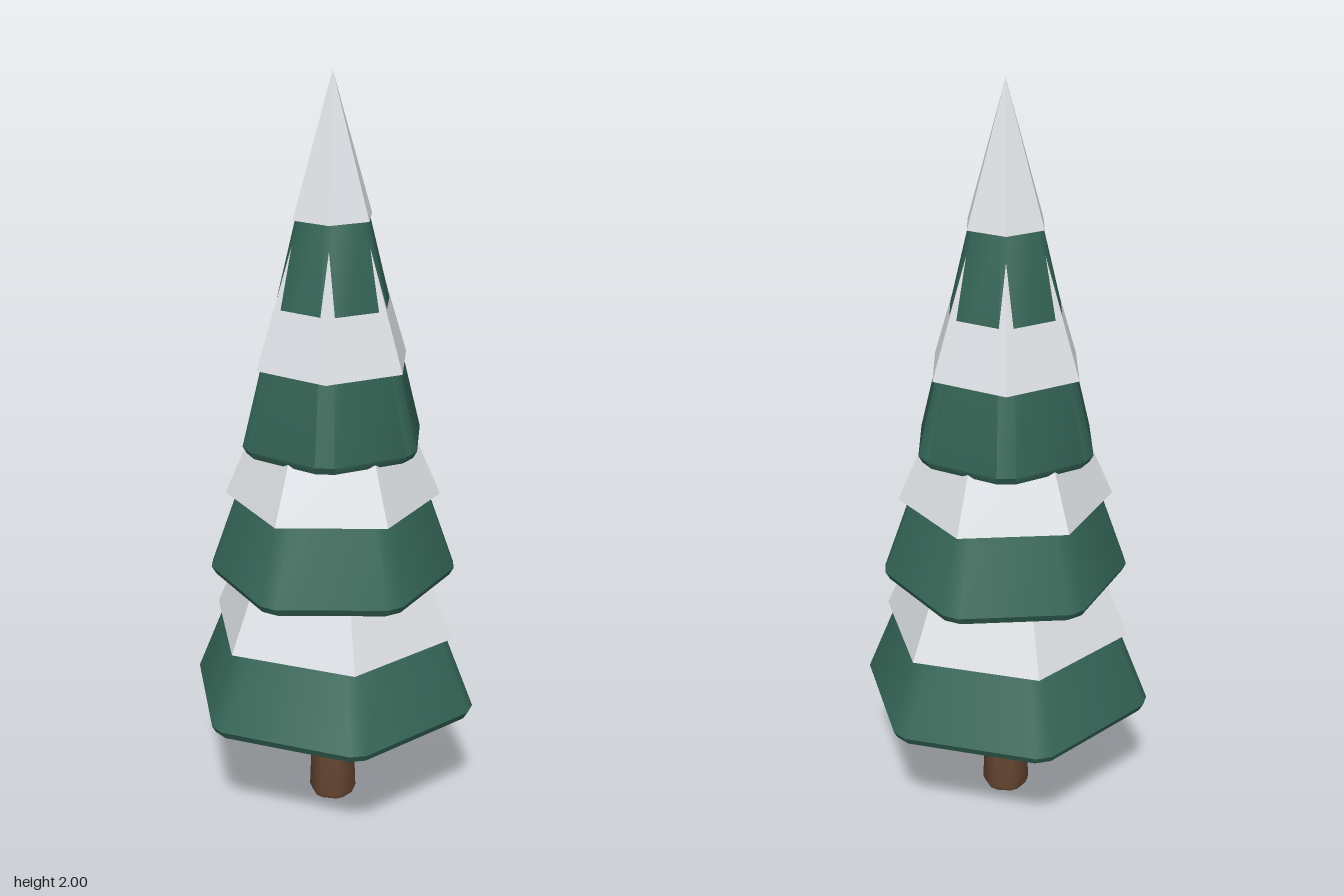
import * as THREE from 'three';
import { toCreasedNormals } from 'three/addons/utils/BufferGeometryUtils.js';

const rad = THREE.MathUtils.degToRad;

// Hexagon outline with each corner cut by c; a = centre-to-side distance
function hexRing(a, c, angle, y) {
  const pts = [];
  const r = a / Math.cos(Math.PI / 6);
  for (let i = 0; i < 6; i++) {
    const t = rad(angle + i * 60);
    for (const s of [-1, 1]) {
      const d = t + s * Math.PI * 2 / 3;
      pts.push(new THREE.Vector3(
        r * Math.cos(t) + c * Math.cos(d), y, r * Math.sin(t) + c * Math.sin(d)));
    }
  }
  return pts;
}

// Closed solid through a stack of [y, a, c] hexagon sections, softened at the corners
function hexSolid(sections, angle) {
  const rings = sections.map(([y, a, c]) => hexRing(a, c, angle, y));
  const pos = [];
  const tri = (...vs) => vs.forEach(v => pos.push(v.x, v.y, v.z));
  const last = rings.length - 1;
  const low = new THREE.Vector3(0, sections[0][0], 0);
  const high = new THREE.Vector3(0, sections[last][0], 0);
  for (let i = 0; i < 12; i++) {
    const j = (i + 1) % 12;
    for (let k = 0; k < last; k++) {
      const a = rings[k], b = rings[k + 1];
      tri(a[i], b[i], a[j]);
      tri(a[j], b[i], b[j]);
    }
    tri(low, rings[0][i], rings[0][j]);
    tri(high, rings[last][j], rings[last][i]);
  }
  const geo = new THREE.BufferGeometry();
  geo.setAttribute('position', new THREE.Float32BufferAttribute(pos, 3));
  return toCreasedNormals(geo, rad(42));
}

// Sharp, flat-faced six-sided cone section
function snowCone(y0, r0, y1, r1, angle) {
  const geo = new THREE.CylinderGeometry(r1, r0, y1 - y0, 6, 1).toNonIndexed();
  geo.computeVertexNormals();
  geo.rotateY(rad(30 - angle));
  geo.translate(0, (y0 + y1) / 2, 0);
  return geo;
}

export function createModel() {
  const group = new THREE.Group();
  const material = (name, color) => {
    const m = new THREE.MeshStandardMaterial({ color });
    m.name = name;
    return m;
  };
  const green = material('needleGreen', 0x356657);
  const white = material('snowWhite', 0xdfe2e6);
  const brown = material('barkBrown', 0x6b4a35);

  const add = (name, geo, mat) => {
    const mesh = new THREE.Mesh(geo, mat);
    mesh.name = name;
    group.add(mesh);
  };

  // Trunk
  add('trunk', hexSolid([
    [0, 0.054, 0.012], [0.015, 0.06, 0.012], [0.34, 0.049, 0.01]], 30), brown);

  // Branch tiers: foliage with a bevelled lower rim, and a snow skirt over each
  const tiers = [
    { name: 'lower', angle: -20.7, y: 0.31, a: 0.352, c: 0.025, top: [0.8, 0.183, 0.015],
      snow: [0.53, 0.34, 0.76, 0.241] },
    { name: 'middle', angle: 19.5, y: 0.675, a: 0.292, c: 0.026, top: [1.15, 0.15, 0.014],
      snow: [0.9, 0.284, 1.12, 0.189] },
    { name: 'upper', angle: -6.5, y: 1.04, a: 0.224, c: 0.028, top: [1.66, 0.086, 0.016],
      snow: [1.265, 0.213, 1.65, 0.089] },
  ];
  for (const { name, angle, y, a, c, top, snow } of tiers) {
    add(name + 'Foliage', hexSolid([[y, a - 0.01, c], [y + 0.02, a, c], top], angle), green);
    add(name + 'Snow', snowCone(...snow, angle), white);
  }

  // Snow cap on the tip
  add('snowCap', snowCone(1.64, 0.11, 2, 0, -6.5), white);

  return group;
}
